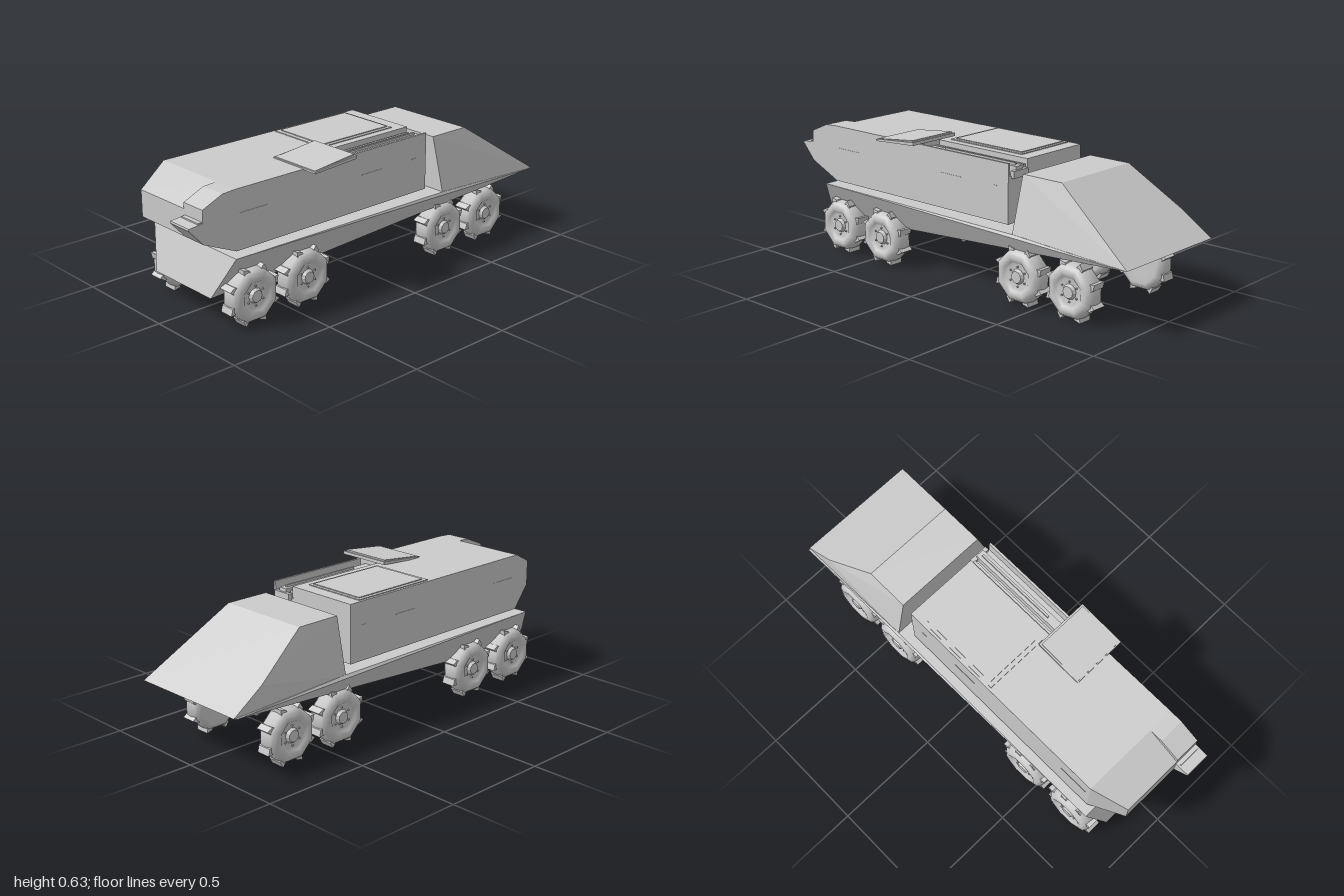
import * as THREE from 'three';
import { ConvexGeometry } from 'three/addons/geometries/ConvexGeometry.js';

const flat = new THREE.MeshStandardMaterial({ color: 0xcccccc, flatShading: true, side: THREE.DoubleSide });
const smooth = new THREE.MeshStandardMaterial({ color: 0xcccccc, side: THREE.DoubleSide });

function add(parent, name, geometry, material = flat) {
  const mesh = new THREE.Mesh(geometry, material);
  mesh.name = name;
  parent.add(mesh);
  return mesh;
}

// Box given by its minimum and maximum corners
function span(parent, name, [x0, y0, z0], [x1, y1, z1]) {
  const mesh = add(parent, name, new THREE.BoxGeometry(x1 - x0, y1 - y0, z1 - z0));
  mesh.position.set((x0 + x1) / 2, (y0 + y1) / 2, (z0 + z1) / 2);
  return mesh;
}

const hull = (points) => new ConvexGeometry(points.map((p) => new THREE.Vector3(...p)));
const outline = (points) => new THREE.Shape(points.map((p) => new THREE.Vector2(...p)));

// Cross-section in x,y drawn out from z0 to z1
function prismZ(points, z0, z1) {
  return new THREE.ExtrudeGeometry(outline(points), { depth: z1 - z0, bevelEnabled: false }).translate(0, 0, z0);
}

// Side profile in z,y drawn out from x0 to x1
function prismX(points, x0, x1) {
  return new THREE.ExtrudeGeometry(outline(points), { depth: x1 - x0, bevelEnabled: false })
    .rotateY(-Math.PI / 2).translate(x1, 0, 0);
}

// Eight-sided tyre with a domed inner face, recessed hub and cleats; axle along y, outside at +y
function makeWheel() {
  const wheel = new THREE.Group();
  const profile = [
    [0, -0.045], [0.05, -0.047], [0.09, -0.05], [0.108, -0.046], [0.122, -0.03], [0.125, 0],
    [0.122, 0.03], [0.108, 0.047], [0.088, 0.052], [0.07, 0.046], [0.058, 0.034], [0, 0.034],
  ].map((p) => new THREE.Vector2(...p));
  add(wheel, 'tyre', new THREE.LatheGeometry(profile, 8, Math.PI / 8), smooth);

  const hub = add(wheel, 'hub', new THREE.CylinderGeometry(0.026, 0.034, 0.014, 12));
  hub.position.y = 0.041;
  for (let i = 0; i < 6; i++) {
    const a = (i * Math.PI) / 3;
    const bolt = add(wheel, 'wheelBolt', new THREE.CylinderGeometry(0.004, 0.004, 0.008, 6));
    bolt.position.set(0.044 * Math.cos(a), 0.037, 0.044 * Math.sin(a));
  }

  const cleat = prismZ([[0.098, -0.016], [0.138, -0.004], [0.12, 0.02], [0.1, 0.022]], -0.034, 0.034)
    .rotateX(Math.PI / 2);
  for (let i = 0; i < 8; i++) {
    add(wheel, 'tyreCleat', cleat).rotation.y = Math.PI / 8 + (i * Math.PI) / 4;
  }
  return wheel;
}

export function createModel() {
  const model = new THREE.Group();

  // Wedge-shaped lower hull, narrow keel in front rising to the tail
  add(model, 'lowerHull', hull([
    [-0.29, 0.317, 0.8], [0.275, 0.317, 0.8], [-0.205, 0.128, 0.86], [0.175, 0.128, 0.86],
    [-0.305, 0.29, -0.995], [0.3, 0.29, -0.995], [-0.29, 0.312, -0.39], [0.285, 0.312, -0.39],
  ]));

  // Sloped rear compartment
  add(model, 'rearCompartment', hull([
    [-0.29, 0.305, -0.39], [0.285, 0.305, -0.39], [-0.238, 0.56, -0.39], [0.216, 0.56, -0.39],
    [-0.238, 0.56, -0.6], [0.216, 0.56, -0.6], [-0.29, 0.39, -0.85],
    [-0.295, 0.29, -1], [0.298, 0.29, -1],
  ]));

  // Upper body: slotted rear section, solid middle section
  const body = new THREE.Group();
  body.name = 'upperBody';
  model.add(body);
  const L = -0.25, R = 0.235, bottom = 0.33, top = 0.597;
  add(body, 'slottedBody', prismZ([
    [L, bottom], [R, bottom], [R, top], [0.224, top], [0.224, 0.54],
    [0.112, 0.54], [0.112, top], [L, top],
  ], -0.325, 0.2));
  add(body, 'middleBody', prismZ([[L, bottom], [R, bottom], [R, top], [L, top]], 0.2, 0.766));

  // Front with bevels on the top, bottom and right side
  add(body, 'bevelledFront', hull([
    [L, bottom, 0.766], [R, bottom, 0.766], [L, top, 0.766], [0.112, top, 0.766], [R, 0.523, 0.766],
    [-0.185, 0.403, 0.93], [R, 0.403, 0.93], [-0.185, 0.523, 0.93], [0.112, 0.523, 0.93], [R, 0.487, 0.93],
  ]));

  // Raised housing and pointed lip on the left of the front
  add(body, 'noseHousing', prismX([
    [0.7, 0.42], [0.93, 0.403], [1, 0.48], [0.998, 0.488], [0.93, 0.494],
    [0.93, 0.55], [0.83, 0.593], [0.766, top], [0.7, top],
  ], 0.112, R));
  span(body, 'lipRail', [0.12, 0.486, 0.92], [0.23, 0.498, 0.95]);

  // Long beam lying in the roof slot, with its cross pieces
  span(body, 'slotBeam', [0.15, 0.54, -0.33], [0.192, 0.578, 0.2]);
  span(body, 'beamEnd', [0.122, 0.53, -0.34], [0.215, 0.562, -0.32]);
  span(body, 'beamRail', [0.166, 0.578, -0.31], [0.176, 0.588, 0.1]);
  span(body, 'beamRail', [0.12, 0.54, -0.32], [0.132, 0.575, 0.2]);

  // Roof hatch with a raised inner panel
  span(body, 'hatchFrame', [-0.238, 0.59, -0.262], [0.076, 0.601, 0.162]);
  span(body, 'hatchPanel', [-0.222, 0.595, -0.248], [0.06, 0.605, 0.142]);

  // Tilted plate over the slot
  add(body, 'tiltedPlate', prismX([[0.17, 0.607], [0.405, 0.593], [0.405, 0.602], [0.17, 0.622]], 0.042, 0.308));
  add(body, 'tiltedPlateCover', prismX([[0.18, 0.618], [0.4, 0.6], [0.4, 0.604], [0.18, 0.628]], 0.05, 0.3));

  // Narrow slits along both sides
  for (const x of [L, R]) {
    for (const [z0, z1] of [[0.6, 0.745], [-0.05, 0.07], [-0.26, -0.235]]) {
      span(body, 'sideSlit', [x - 0.0015, 0.488, z0], [x + 0.0015, 0.492, z1]);
    }
  }

  // Supports between the lower hull and the upper body
  span(model, 'bodySupport', [-0.15, 0.305, 0.3], [-0.01, 0.335, 0.45]);
  span(model, 'bodySupport', [-0.12, 0.3, -0.3], [0.12, 0.335, 0.1]);

  // Four axles of wheels
  const wheel = makeWheel();
  for (const z of [0.705, 0.42, -0.415, -0.695]) {
    for (const side of [1, -1]) {
      const w = wheel.clone();
      w.name = side > 0 ? 'leftWheel' : 'rightWheel';
      w.rotation.z = (-side * Math.PI) / 2;
      w.position.set(side > 0 ? 0.238 : -0.253, 0.128, z);
      model.add(w);
    }
  }
  return model;
}
